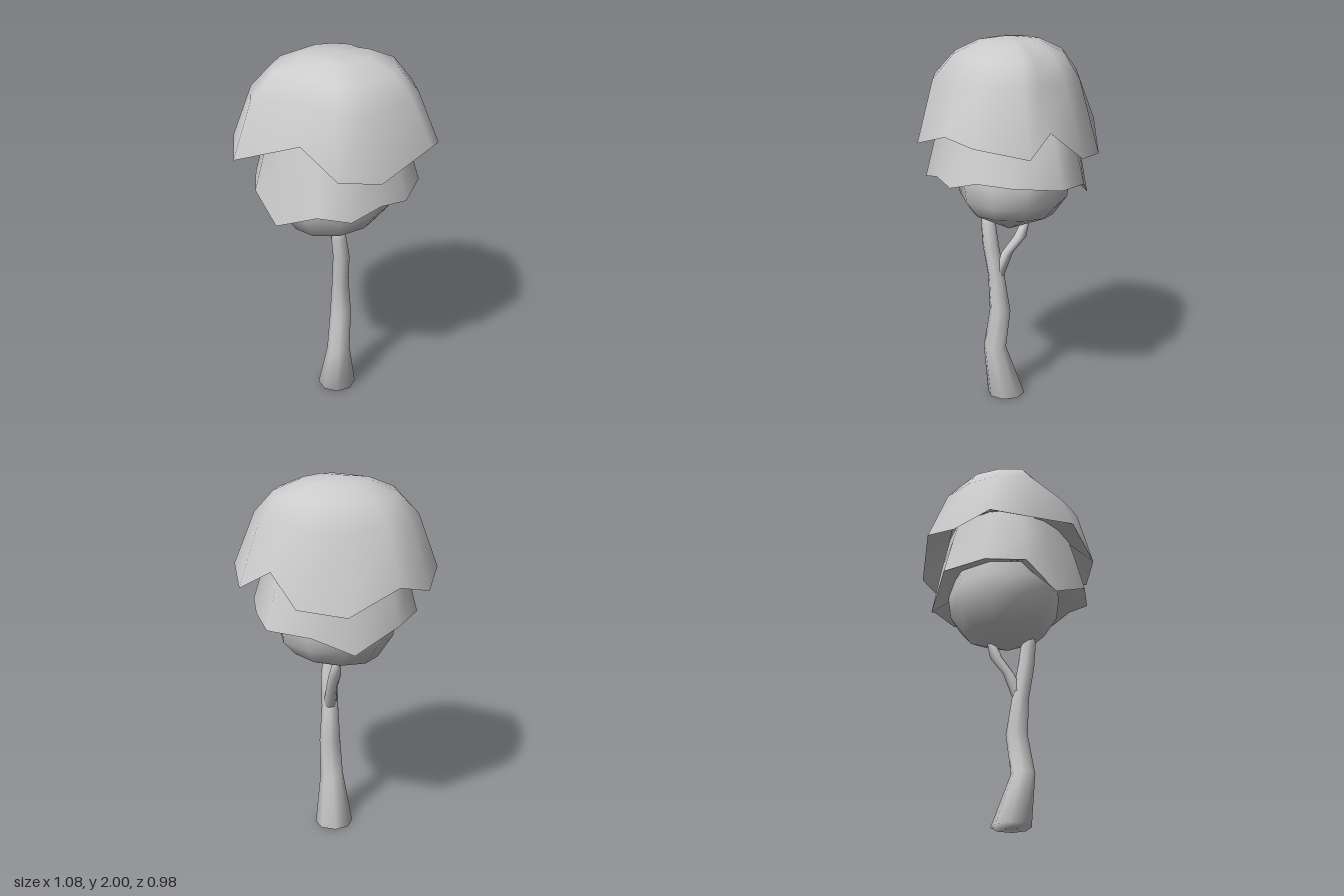
import * as THREE from 'three';

const material = new THREE.MeshStandardMaterial({ color: 0xcccccc, side: THREE.DoubleSide });

// Joins rings of [x, y, z] points, listed from start to end, into a smooth skin.
function skin(name, rings, startTip, endTip) {
  const n = rings[0].length;
  const positions = rings.flat(2);
  const index = [];
  for (let r = 0; r < rings.length - 1; r++) {
    for (let i = 0; i < n; i++) {
      const a = r * n + i, b = r * n + (i + 1) % n;
      index.push(a, a + n, b, b, a + n, b + n);
    }
  }
  const fan = (tip, first, flip) => {
    const t = positions.length / 3;
    positions.push(...tip);
    for (let i = 0; i < n; i++) {
      const a = first + i, b = first + (i + 1) % n;
      index.push(...(flip ? [a, b, t] : [a, t, b]));
    }
  };
  if (startTip) fan(startTip, 0, true);
  if (endTip) fan(endTip, (rings.length - 1) * n, false);
  const geometry = new THREE.BufferGeometry();
  geometry.setAttribute('position', new THREE.Float32BufferAttribute(positions, 3));
  geometry.setIndex(index);
  geometry.computeVertexNormals();
  const mesh = new THREE.Mesh(geometry, material);
  mesh.name = name;
  return mesh;
}

// Scales a jagged rim towards the axis and moves it to height y, keeping part of its waviness.
const inset = (rim, scale, y, wave = 0, base = 0, dx = 0, dz = 0) =>
  rim.map(p => [p[0] * scale + dx, y + (p[1] - base) * wave, p[2] * scale + dz]);

// Horizontal ring of a limb.
const ring = ([x, y, z, r], sides = 8) => Array.from({ length: sides }, (_, i) => {
  const a = (i + 0.5) / sides * Math.PI * 2;
  const k = r / Math.cos(Math.PI / sides);
  return [x + Math.cos(a) * k, y, z + Math.sin(a) * k];
});

function limb(name, path) {
  const first = path[0], last = path[path.length - 1];
  return skin(name, path.map(p => ring(p)), first.slice(0, 3), last.slice(0, 3));
}

export function createModel() {
  const tree = new THREE.Group();
  tree.name = 'tree';

  // Trunk with a flared foot, and the branch forking to the back
  tree.add(limb('trunk', [
    [0, 0, 0.02, 0.096], [-0.017, 0.28, 0.08, 0.058], [0.007, 0.5, 0.055, 0.053],
    [-0.003, 0.7, 0.073, 0.042], [-0.012, 0.88, 0.102, 0.041],
    [-0.03, 1.0, 0.11, 0.037], [-0.037, 1.06, 0.11, 0.03],
  ]));
  tree.add(limb('branch', [
    [0, 0.7, 0.07, 0.034], [0.015, 0.84, 0.015, 0.028],
    [0.032, 0.93, -0.05, 0.031], [0.035, 1.02, -0.08, 0.02],
  ]));

  // Top foliage: dome with a jagged skirt
  const crownRim = [
    [0.535, 1.48, 0.02], [0.45, 1.53, 0.28], [0.34, 1.57, 0.40], [0.02, 1.47, 0.49],
    [-0.19, 1.50, 0.44], [-0.31, 1.64, 0.27], [-0.54, 1.48, -0.05], [-0.46, 1.53, -0.26],
    [-0.32, 1.46, -0.41], [-0.10, 1.53, -0.49], [0.16, 1.40, -0.44], [0.37, 1.43, -0.29],
    [0.42, 1.58, -0.11],
  ];
  const crown = new THREE.Group();
  crown.name = 'topFoliage';
  crown.add(skin('dome', [
    crownRim,
    inset(crownRim, 0.8, 1.8, 0.15, 1.5, -0.01, 0.01),
    inset(crownRim, 0.6, 1.92),
    inset(crownRim, 0.34, 1.98),
  ], null, [-0.02, 2, 0.01]));
  crown.add(skin('domeUnderside', [inset(crownRim, 0.7, 1.62), crownRim]));
  tree.add(crown);

  // Middle foliage: flared jagged band
  const middleRim = [
    [0.42, 1.31, 0.08], [0.36, 1.33, 0.25], [0.23, 1.28, 0.36], [0.07, 1.30, 0.40],
    [-0.11, 1.26, 0.43], [-0.26, 1.28, 0.35], [-0.39, 1.16, 0.13], [-0.43, 1.29, -0.05],
    [-0.35, 1.30, -0.25], [-0.15, 1.30, -0.41], [0.10, 1.18, -0.40], [0.30, 1.28, -0.32],
    [0.47, 1.30, -0.16],
  ];
  const middle = new THREE.Group();
  middle.name = 'middleFoliage';
  middle.add(skin('band', [
    middleRim,
    inset(middleRim, 0.87, 1.5, 0.3, 1.28),
    inset(middleRim, 0.78, 1.64),
  ]));
  middle.add(skin('bandUnderside', [inset(middleRim, 0.65, 1.36), middleRim]));
  tree.add(middle);

  // Lower foliage: rounded bulb tapering to the trunk
  const bulbRim = Array.from({ length: 10 }, (_, i) => {
    const a = i / 10 * Math.PI * 2;
    return [0.325 * Math.cos(a), 1.27, 0.3 * Math.sin(a) - 0.02];
  });
  tree.add(skin('lowerFoliage', [
    inset(bulbRim, 0.72, 1.06).map(([x, y, z]) => [x + 0.01, y + x * 0.1 + z * 0.03, z]),
    inset(bulbRim, 0.95, 1.16, 0, 0, 0.005),
    bulbRim,
    inset(bulbRim, 0.95, 1.42),
  ], [-0.01, 0.965, 0]));

  return tree;
}
